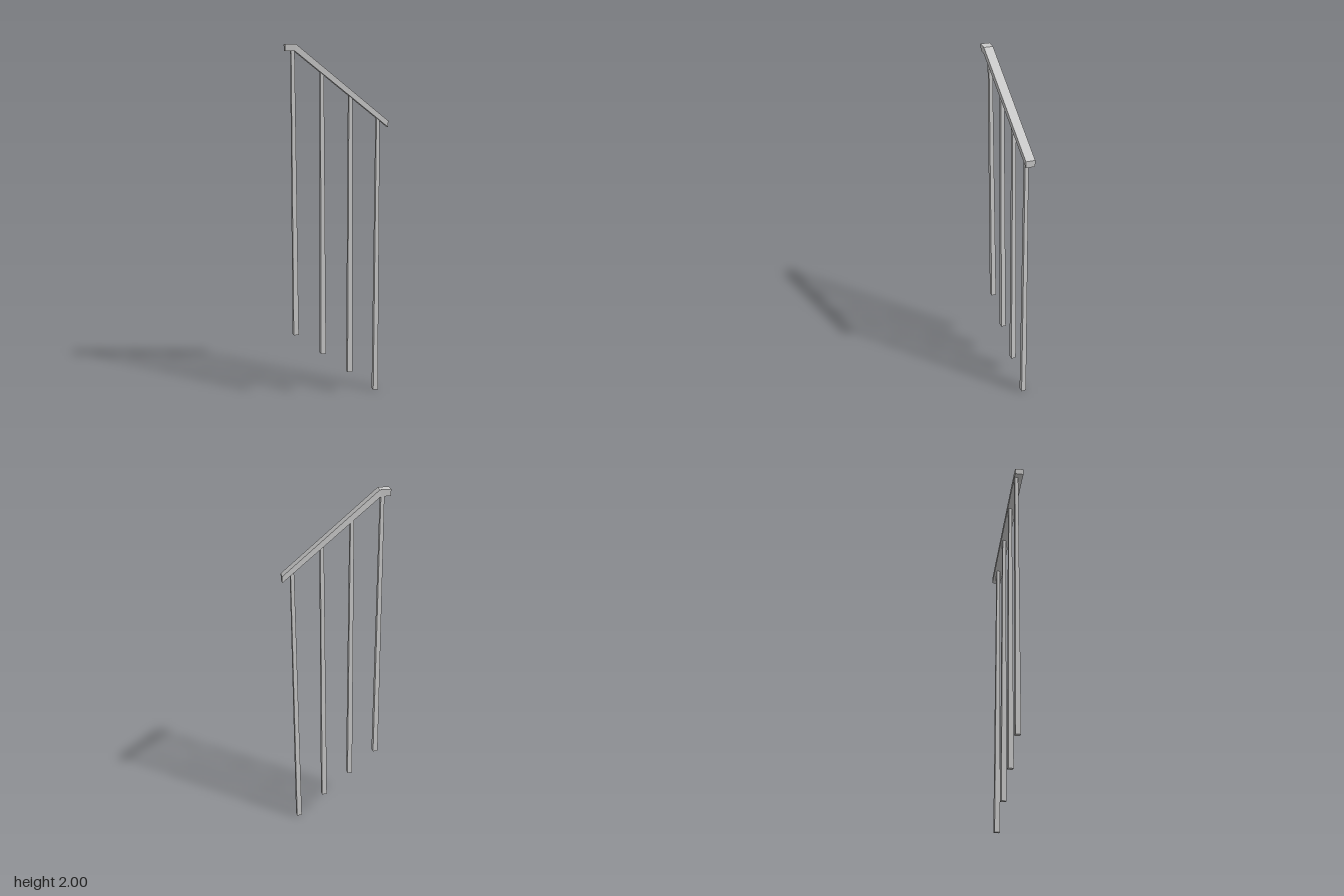
import * as THREE from 'three';

const material = new THREE.MeshStandardMaterial({ color: 0xcccccc, flatShading: true });

// Rail sections from the level end to the lower end: x, top y, centre z
const sections = [
  { xTop: -0.29, xBottom: -0.29, y: 2.0, z: 0.025 },
  { xTop: -0.231, xBottom: -0.238, y: 2.0, z: 0.025 },
  { xTop: 0.288, xBottom: 0.288, y: 1.59, z: -0.028 },
];
const railThickness = 0.035;
const railDepth = 0.049;

// Handrail: a two-segment box bent through the sections
function createRail() {
  const box = new THREE.BoxGeometry(2, 1, 1, 2, 1, 1);
  const p = box.attributes.position;
  for (let i = 0; i < p.count; i++) {
    const s = sections[Math.round(p.getX(i)) + 1];
    const top = p.getY(i) > 0;
    p.setXYZ(i, top ? s.xTop : s.xBottom, s.y - (top ? 0 : railThickness), s.z + p.getZ(i) * railDepth);
  }
  const geometry = box.toNonIndexed();
  geometry.computeVertexNormals();
  const rail = new THREE.Mesh(geometry, material);
  rail.name = 'handrail';
  return rail;
}

// Baluster: a square post, slightly narrower at the top
function createBaluster(bottom, top) {
  const box = new THREE.BoxGeometry(1, 1, 1);
  const p = box.attributes.position;
  for (let i = 0; i < p.count; i++) {
    const upper = p.getY(i) > 0;
    const width = upper ? 0.019 : 0.029;
    p.setXYZ(i, p.getX(i) * width, upper ? top : bottom, p.getZ(i) * width);
  }
  const geometry = box.toNonIndexed();
  geometry.computeVertexNormals();
  return new THREE.Mesh(geometry, material);
}

export function createModel() {
  const group = new THREE.Group();
  group.name = 'stairRailing';
  group.add(createRail());

  // Four balusters stepping down along the rail, turned to follow it
  const tops = [1.975, 1.87, 1.745, 1.617];
  tops.forEach((top, i) => {
    const baluster = createBaluster(0.39 - i * 0.13, top);
    baluster.name = `baluster${i + 1}`;
    baluster.position.set(-0.246 + i * 0.1593, 0, 0.013 - i * 0.0125);
    baluster.rotation.y = 0.1;
    group.add(baluster);
  });
  return group;
}
